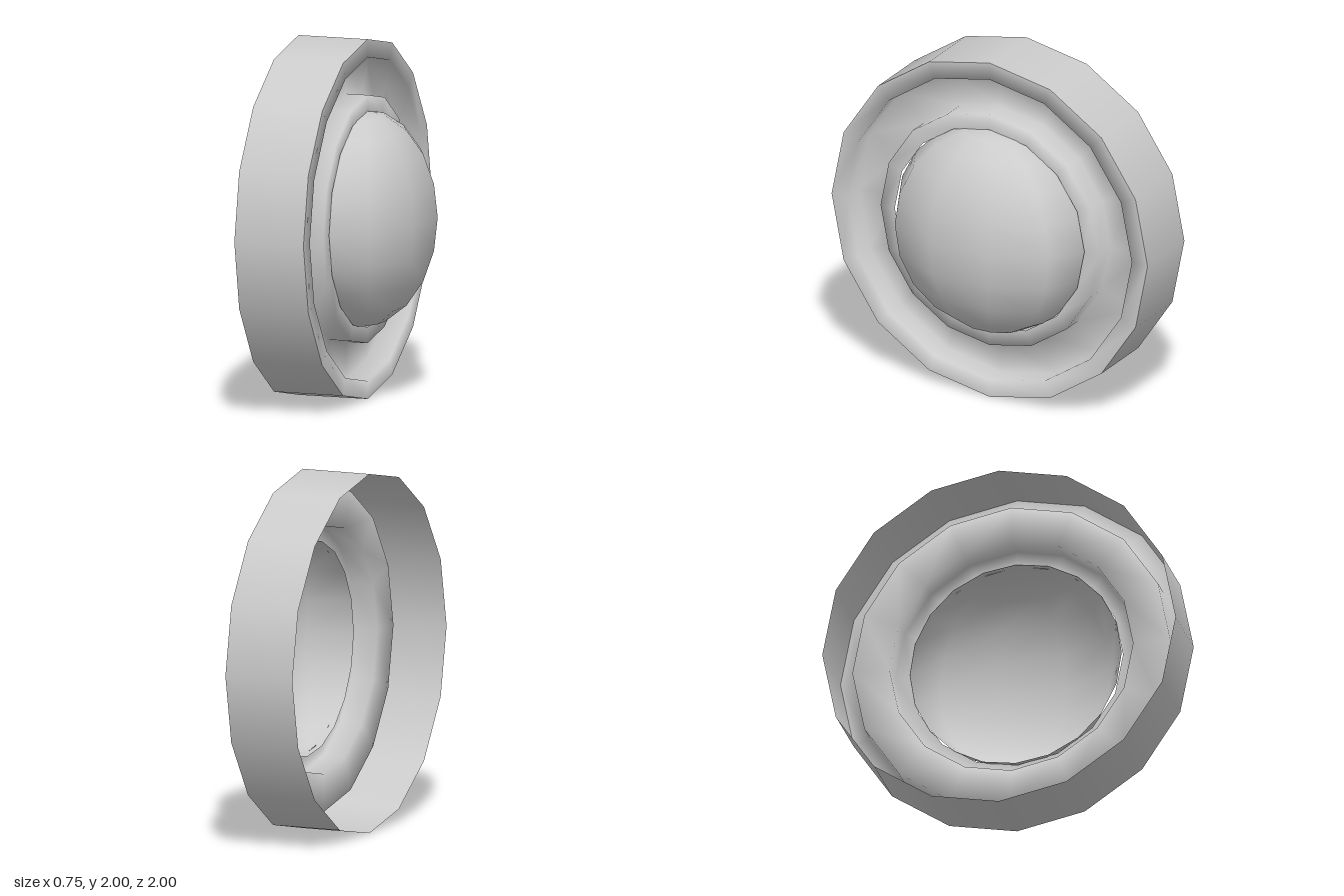
import * as THREE from 'three';

const SIDES = 16;

export function createModel() {
  const model = new THREE.Group();
  model.name = 'wheel';
  const material = new THREE.MeshStandardMaterial({ color: 0xcccccc, side: THREE.DoubleSide });

  // Revolves [radius, x] points around the wheel's horizontal axis
  function addRing(name, profile) {
    const points = profile.map(([r, x]) => new THREE.Vector2(r, x));
    const geometry = new THREE.LatheGeometry(points, SIDES);
    geometry.rotateZ(-Math.PI / 2);
    const mesh = new THREE.Mesh(geometry, material);
    mesh.name = name;
    mesh.position.y = 1;
    model.add(mesh);
  }

  // Outer band, open at the rear
  addRing('outerBand', [[1, -0.375], [1, 0.03]]);

  // Face: raised rim, sunken channel, raised collar around the dome
  addRing('face', [[1, 0.03], [0.9, 0.03], [0.9, -0.1], [0.69, -0.1], [0.69, 0.03], [0.6, 0.03]]);

  // Flattened half-sphere with its poles at top and bottom, hollow behind
  const domeGeometry = new THREE.SphereGeometry(0.6, 5, 10, Math.PI / 2, Math.PI);
  domeGeometry.scale(0.65, 1, 1);
  const dome = new THREE.Mesh(domeGeometry, material);
  dome.name = 'dome';
  dome.position.y = 1;
  model.add(dome);

  return model;
}
